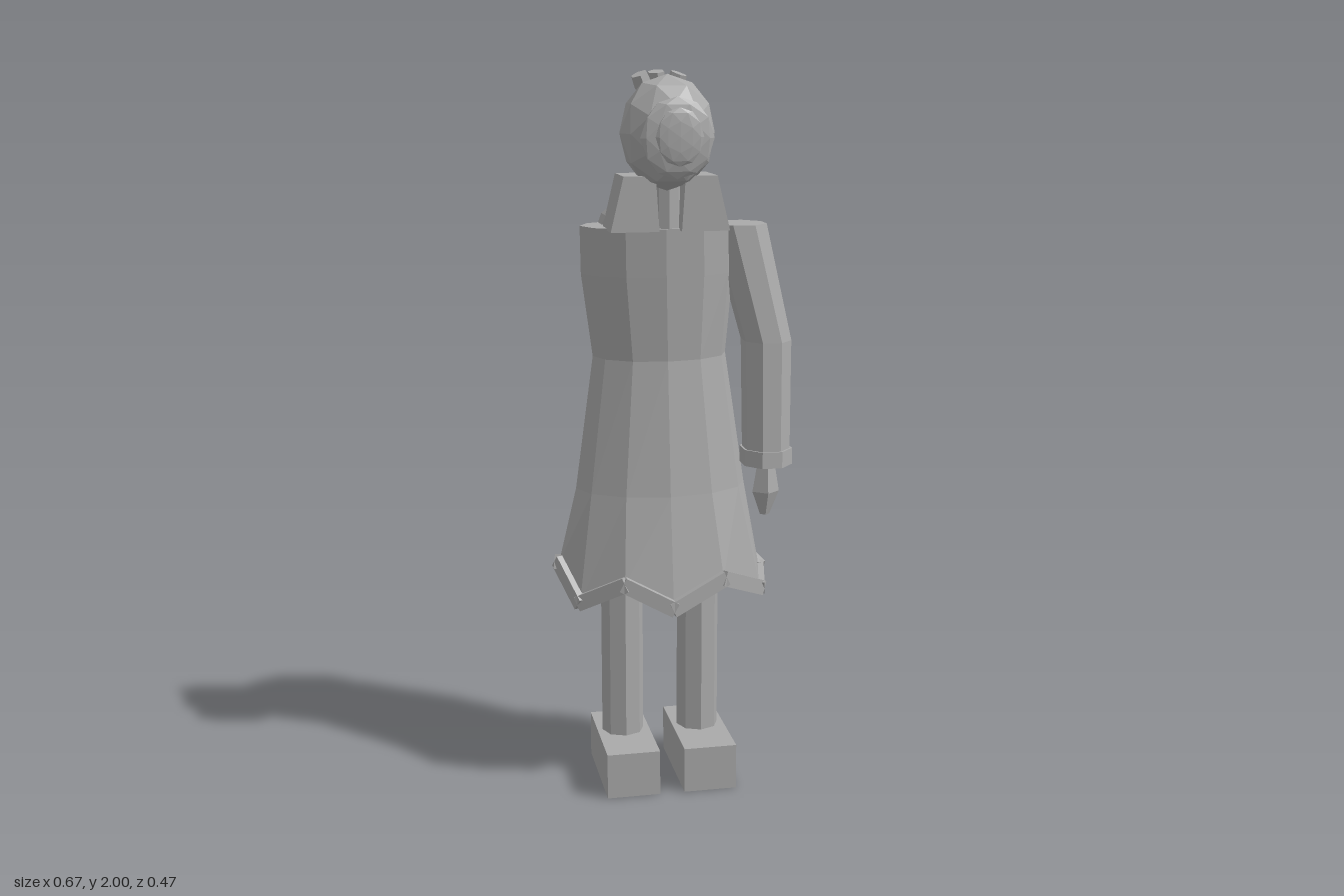
import * as THREE from 'three';

const DEG = Math.PI / 180;
const grey = new THREE.MeshStandardMaterial({ color: 0xaaaaaa });
grey.name = 'plain grey';

// Faceted mesh with one normal per face
function part(name, geometry, x = 0, y = 0, z = 0) {
  const g = geometry.index ? geometry.toNonIndexed() : geometry;
  g.computeVertexNormals();
  const mesh = new THREE.Mesh(g, grey);
  mesh.name = name;
  mesh.position.set(x, y, z);
  return mesh;
}

// Low-poly ellipsoid
function blob(name, detail, rx, ry, rz, x, y, z) {
  return part(name, new THREE.IcosahedronGeometry(1, detail).scale(rx, ry, rz), x, y, z);
}

// One horizontal cross-section, running from the front round to +x
function ring(sides, x, y, z, rx, rz, turn = 0) {
  return Array.from({ length: sides }, (_, i) => {
    const a = (i + turn) / sides * Math.PI * 2;
    return new THREE.Vector3(x + rx * Math.sin(a), y, z + rz * Math.cos(a));
  });
}

// Closed skin through rings listed from bottom to top
function loft(rings) {
  const out = [], n = rings[0].length;
  const tri = (...pts) => pts.forEach((p) => out.push(p.x, p.y, p.z));
  const middle = (r) => r.reduce((s, p) => s.add(p), new THREE.Vector3()).divideScalar(n);
  const low = rings[0], high = rings[rings.length - 1];
  const lowMid = middle(low), highMid = middle(high);
  for (let j = 0; j < n; j++) {
    const k = (j + 1) % n;
    for (let i = 0; i < rings.length - 1; i++) {
      const a = rings[i], b = rings[i + 1];
      tri(a[j], a[k], b[k]);
      tri(a[j], b[k], b[j]);
    }
    tri(lowMid, low[k], low[j]);
    tri(highMid, high[j], high[k]);
  }
  const g = new THREE.BufferGeometry();
  g.setAttribute('position', new THREE.Float32BufferAttribute(out, 3));
  return g;
}

export function createModel() {
  const model = new THREE.Group();
  model.name = 'figure';

  // Zigzag hem: angle from the front and height of each corner
  const corners = [[0, 0.555], [30, 0.625], [70, 0.56], [95, 0.595], [120, 0.63], [150, 0.56],
    [180, 0.65], [210, 0.56], [240, 0.605], [270, 0.65], [302, 0.56], [333, 0.625]];
  const hem = corners.map(([a, y]) => new THREE.Vector3(
    -0.025 + 0.292 * Math.sin(a * DEG), y, -0.035 + 0.185 * Math.cos(a * DEG)));

  // Dress
  model.add(part('dress', loft([
    hem,
    ring(12, -0.025, 0.86, -0.045, 0.24, 0.15),
    ring(12, -0.025, 1.23, -0.058, 0.187, 0.125),
    ring(12, -0.032, 1.46, -0.045, 0.212, 0.13),
    ring(12, -0.035, 1.59, -0.037, 0.212, 0.132),
  ])));

  // Trim bars along the hem
  const trim = new THREE.Group();
  trim.name = 'hemTrim';
  hem.forEach((a, i) => {
    const b = hem[(i + 1) % hem.length];
    const along = b.clone().sub(a);
    const length = along.length();
    along.normalize();
    const outward = new THREE.Vector3().crossVectors(along, new THREE.Vector3(0, 1, 0)).normalize();
    const up = new THREE.Vector3().crossVectors(outward, along);
    const bar = part('trimBar', new THREE.BoxGeometry(length + 0.012, 0.042, 0.026));
    bar.position.addVectors(a, b).multiplyScalar(0.5);
    bar.quaternion.setFromRotationMatrix(new THREE.Matrix4().makeBasis(along, up, outward));
    trim.add(bar);
  });
  model.add(trim);

  // Legs and shoes
  for (const [side, x] of [['right', -0.137], ['left', 0.083]]) {
    model.add(part(side + 'Leg', new THREE.CylinderGeometry(0.06, 0.06, 0.6, 8), x, 0.42, -0.048));
    model.add(part(side + 'Shoe', new THREE.BoxGeometry(0.15, 0.13, 0.315), x, 0.065, -0.02));
  }

  // Hump on the upper back
  model.add(blob('hump', 1, 0.19, 0.148, 0.14, -0.018, 1.54, -0.095));

  // Neck and flared collar halves
  model.add(part('neck', new THREE.CylinderGeometry(0.037, 0.037, 0.2, 8), -0.025, 1.64, 0.05));
  for (const side of [-1, 1]) {
    const g = new THREE.BoxGeometry(0.1, 0.145, 0.138);
    const p = g.attributes.position;
    for (let i = 0; i < p.count; i++) {
      const outer = p.getX(i) * side > 0, top = p.getY(i) > 0;
      const reach = outer ? (top ? 0.125 : 0.16) : (top ? 0.04 : 0.03);
      p.setX(i, side * reach);
    }
    model.add(part(side < 0 ? 'rightCollar' : 'leftCollar', g, -0.027, 1.658, 0.047));
  }

  // Head, round face plates and small hair knots
  model.add(blob('head', 1, 0.127, 0.15, 0.121, -0.03, 1.84, 0.083));
  model.add(blob('facePlate', 1, 0.097, 0.104, 0.019, -0.027, 1.832, 0.203));
  model.add(blob('nosePlate', 1, 0.063, 0.074, 0.011, -0.024, 1.835, 0.22));
  for (const [x, y, z, tilt] of [[-0.09, 1.974, 0.035, 0.4], [-0.048, 1.979, 0.027, 0.1], [0.005, 1.975, 0.034, -0.3]]) {
    const knot = part('hairKnot', new THREE.CylinderGeometry(0.023, 0.026, 0.034, 6), x, y, z);
    knot.rotation.set(0.2, 0, tilt);
    model.add(knot);
  }

  // Single sleeve with cuff and hand
  model.add(part('leftSleeve', loft([
    ring(8, 0.262, 0.93, 0.025, 0.066, 0.074, 0.5),
    ring(8, 0.266, 1.27, -0.005, 0.07, 0.079, 0.5),
    ring(8, 0.19, 1.59, -0.037, 0.08, 0.084, 0.5),
  ])));
  model.add(part('leftCuff', loft([
    ring(8, 0.262, 0.925, 0.025, 0.073, 0.081, 0.5),
    ring(8, 0.263, 0.97, 0.021, 0.073, 0.081, 0.5),
  ])));
  model.add(part('leftHand', loft([
    ring(5, 0.255, 0.782, 0.043, 0.014, 0.016),
    ring(5, 0.255, 0.85, 0.043, 0.04, 0.043),
    ring(5, 0.257, 0.94, 0.04, 0.024, 0.026),
  ])));

  return model;
}
